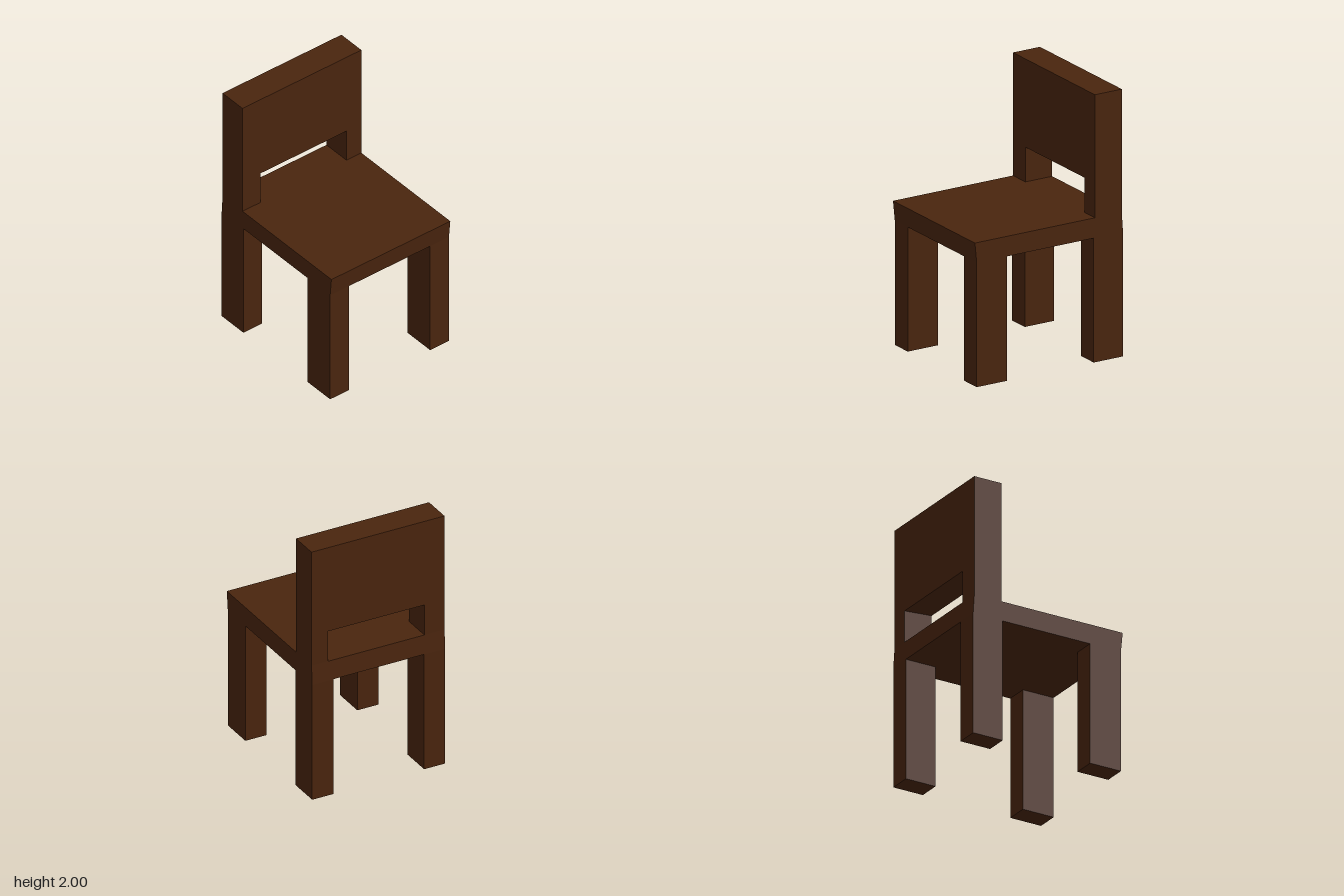
import * as THREE from 'three';

export function createModel() {
  const chair = new THREE.Group();
  chair.name = 'chair';
  const wood = new THREE.MeshStandardMaterial({ color: 0x4a250e, flatShading: true });
  const halfDepth = 0.537;

  // Side profile (x, y) extruded from z0 to z1
  function slab(name, profile, z0, z1) {
    const shape = new THREE.Shape(profile.map(([x, y]) => new THREE.Vector2(x, y)));
    const geometry = new THREE.ExtrudeGeometry(shape, { depth: z1 - z0, bevelEnabled: false });
    geometry.translate(0, 0, z0);
    const mesh = new THREE.Mesh(geometry, wood);
    mesh.name = name;
    chair.add(mesh);
  }

  const rect = (x0, x1, y0, y1) => [[x0, y0], [x1, y0], [x1, y1], [x0, y1]];

  // Seat with slightly leaning front and back edges
  slab('seat', [[-0.62, 0.93], [0.605, 0.93], [0.62, 1.08], [-0.61, 1.08]], -halfDepth, halfDepth);

  // Four legs
  for (const [end, x0, x1] of [['back', -0.62, -0.375], ['front', 0.35, 0.605]]) {
    slab(end + 'LegLeft', rect(x0, x1, 0, 0.93), 0.367, halfDepth);
    slab(end + 'LegRight', rect(x0, x1, 0, 0.93), -halfDepth, -0.367);
  }

  // Backrest panel with a sloping lower edge
  slab('backrest', [[-0.61, 1.323], [-0.385, 1.34], [-0.385, 2], [-0.61, 2]], -halfDepth, halfDepth);

  // Posts joining the seat to the backrest
  const post = [[-0.61, 1.08], [-0.385, 1.08], [-0.385, 1.34], [-0.61, 1.323]];
  slab('backPostLeft', post, 0.375, halfDepth);
  slab('backPostRight', post, -halfDepth, -0.402);

  return chair;
}
